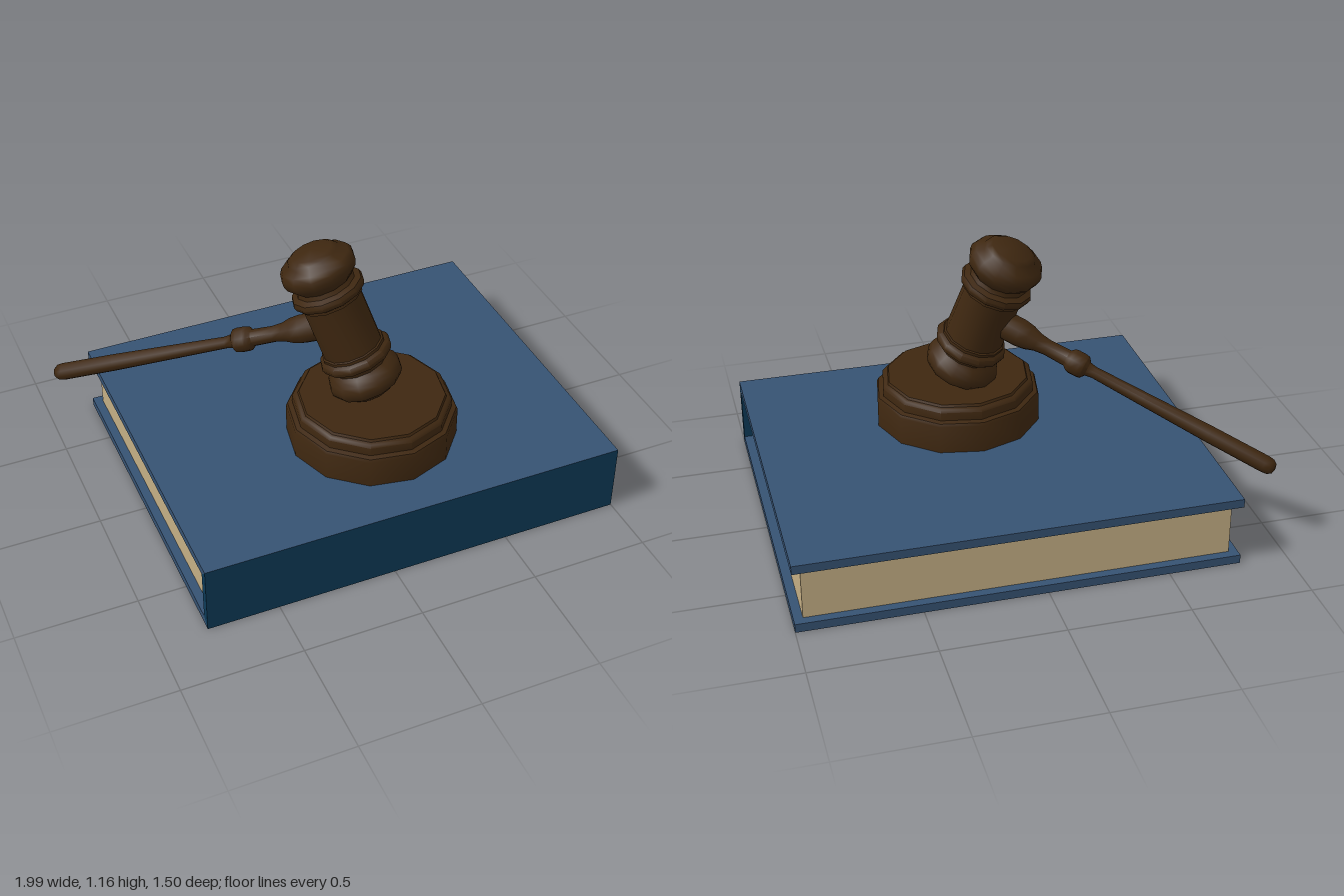
import * as THREE from 'three';
import { toCreasedNormals } from 'three/addons/utils/BufferGeometryUtils.js';

const wood = new THREE.MeshStandardMaterial({ color: 0x3e2710 });
const cloth = new THREE.MeshStandardMaterial({ color: 0x365272 });
const spineCloth = new THREE.MeshStandardMaterial({ color: 0x0d3a58 });
const paper = new THREE.MeshStandardMaterial({ color: 0xc4ae84 });

function add(parent, name, geometry, material) {
  const mesh = new THREE.Mesh(geometry, material);
  mesh.name = name;
  parent.add(mesh);
  return mesh;
}

// Turned wooden part from [radius, height] pairs, bottom to top
function turned(points, sides) {
  const profile = points.map(([r, y]) => new THREE.Vector2(r, y));
  return toCreasedNormals(new THREE.LatheGeometry(profile, sides), 0.8);
}

// Board with a [z, y] cross-section running the width of the book
function board(points) {
  const shape = new THREE.Shape(points.map(([z, y]) => new THREE.Vector2(z, y)));
  return new THREE.ExtrudeGeometry(shape, { depth: 1.8, bevelEnabled: false })
    .rotateY(-Math.PI / 2).translate(1, 0, 0);
}

// Turn a y-up part so it points along a direction
function aim(mesh, origin, direction) {
  mesh.position.copy(origin);
  mesh.quaternion.setFromUnitVectors(new THREE.Vector3(0, 1, 0), direction.clone().normalize());
}

function createBook() {
  const book = new THREE.Group();
  book.name = 'book';
  const t = 0.037, h = 0.3, d = 0.75;
  // Covers and spine meet in mitred edges
  add(book, 'bottomCover', board([[-d, 0], [d, 0], [d - t, t], [-d, t]]), cloth);
  add(book, 'topCover', board([[-d, h - t], [d - t, h - t], [d, h], [-d, h]]), cloth);
  add(book, 'spine', board([[d, 0], [d, h], [d - t, h - t], [d - t, t]]), spineCloth);
  const pages = add(book, 'pages', new THREE.BoxGeometry(1.8 - 2 * t, h - 2 * t, 2 * (d - t)), paper);
  pages.position.set(0.1, h / 2, 0);
  return book;
}

function createGavel() {
  const gavel = new THREE.Group();
  gavel.name = 'gavel';
  const centre = new THREE.Vector3(0.035, 0.81, 0.125);

  // Head: half profile mirrored about the middle of the barrel
  const half = [
    [0.125, 0.115], [0.133, 0.118], [0.133, 0.13], [0.148, 0.138], [0.154, 0.155],
    [0.148, 0.172], [0.124, 0.182], [0.118, 0.2], [0.13, 0.212], [0.148, 0.232],
    [0.156, 0.255], [0.156, 0.278], [0.142, 0.3], [0.112, 0.314], [0.105, 0.327],
    [0.085, 0.339], [0, 0.346],
  ];
  const lower = half.map(([r, y]) => [r, -y]).reverse();
  const head = add(gavel, 'head', turned([...lower, ...half], 12), wood);
  aim(head, centre, new THREE.Vector3(-0.29, 0.925, -0.245));

  // Handle: flared socket, bead and swelling grip
  const handle = add(gavel, 'handle', turned([
    [0, 0.08], [0.06, 0.08], [0.06, 0.175], [0.054, 0.215], [0.04, 0.255], [0.034, 0.3], [0.036, 0.395],
    [0.05, 0.41], [0.053, 0.425], [0.053, 0.455], [0.05, 0.475], [0.03, 0.49],
    [0.025, 0.52], [0.03, 0.75], [0.036, 1.05], [0.037, 1.3], [0.034, 1.325], [0.022, 1.342], [0, 1.347],
  ], 10), wood);
  aim(handle, centre, new THREE.Vector3(-1, -0.47, -0.73));
  return gavel;
}

export function createModel() {
  const model = new THREE.Group();
  model.name = 'gavelOnBook';
  model.add(createBook(), createGavel());

  // Stepped sounding block
  const block = add(model, 'soundBlock', turned([
    [0, 0], [0.353, 0], [0.353, 0.12], [0.347, 0.132], [0.327, 0.137],
    [0.327, 0.172], [0.318, 0.183], [0.305, 0.187], [0.3, 0.197], [0, 0.197],
  ], 12), wood);
  block.position.set(0.126, 0.3, 0.23);
  block.rotation.y = 0.08;
  return model;
}
